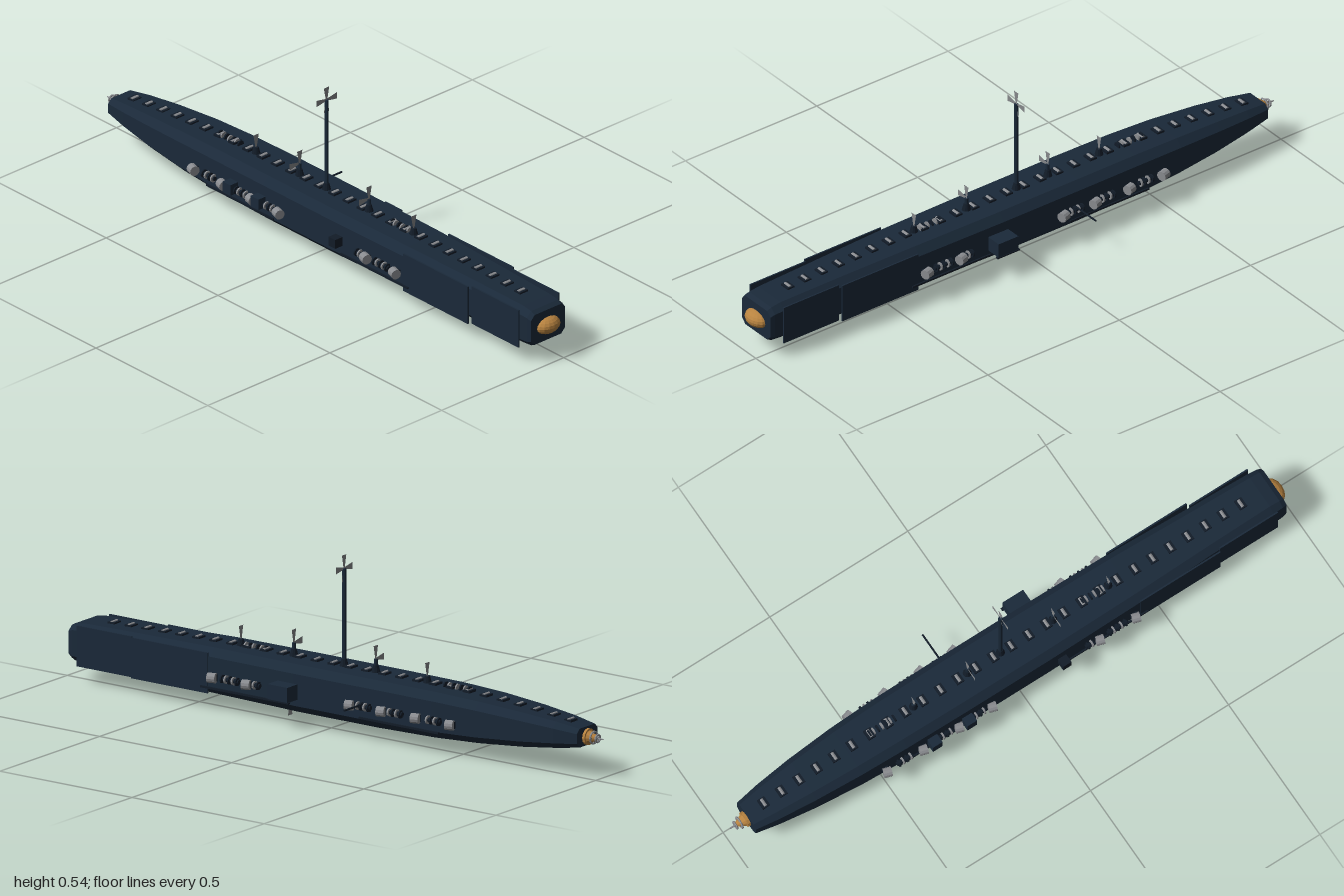
import * as THREE from 'three';

const CX = -0.037; // the hull centreline
const mat = (color) => new THREE.MeshStandardMaterial({ color, flatShading: true });
const NAVY = mat(0x1a2939), DARK = mat(0x121c28), GREY = mat(0x8a8c90), GOLD = mat(0xb88340);
const BLADE = mat(0x85878a);
BLADE.side = THREE.DoubleSide;

function add(parent, name, geo, material, x = 0, y = 0, z = 0) {
  const m = new THREE.Mesh(geo, material);
  m.name = name;
  m.position.set(x, y, z);
  parent.add(m);
  return m;
}
const box = (w, h, d) => new THREE.BoxGeometry(w, h, d);
const tube = (r, h, r2 = r, n = 10) => new THREE.CylinderGeometry(r, r2, h, n);
const tubeZ = (r, h, r2 = r, n = 12) => tube(r, h, r2, n).rotateX(Math.PI / 2);

// Hull lofted through chamfered rectangles: z, half width, bottom, top, chamfer
function hullGeometry() {
  const stations = [
    [0.97, 0.070, 0.065, 0.167, 0.016], [0.955, 0.073, 0.058, 0.175, 0.018],
    [0.92, 0.075, 0.055, 0.18, 0.02], [0.7, 0.082, 0.052, 0.185, 0.022],
    [0.42, 0.092, 0.047, 0.19, 0.024], [0.1, 0.096, 0.042, 0.19, 0.024],
    [-0.2, 0.096, 0.042, 0.19, 0.024], [-0.42, 0.094, 0.046, 0.189, 0.024],
    [-0.58, 0.089, 0.054, 0.184, 0.023], [-0.74, 0.078, 0.067, 0.174, 0.021],
    [-0.86, 0.065, 0.081, 0.163, 0.018], [-0.94, 0.052, 0.093, 0.152, 0.014]];
  const pos = [], idx = [], n = 8;
  for (const [z, w, b, t, c] of stations) {
    const ring = [[w, b + c], [w, t - c], [w - c, t], [c - w, t], [-w, t - c], [-w, b + c], [c - w, b], [w - c, b]];
    for (const [x, y] of ring) pos.push(x, y, z);
  }
  for (let s = 0; s < stations.length - 1; s++) {
    for (let i = 0; i < n; i++) {
      const a = s * n + i, b = s * n + (i + 1) % n;
      idx.push(a, a + n, b + n, a, b + n, b);
    }
  }
  const last = (stations.length - 1) * n;
  for (let i = 1; i < n - 1; i++) idx.push(0, i, i + 1, last, last + i + 1, last + i);
  const g = new THREE.BufferGeometry();
  g.setAttribute('position', new THREE.Float32BufferAttribute(pos, 3));
  g.setIndex(idx);
  const flat = g.toNonIndexed();
  flat.computeVertexNormals();
  return flat;
}

// Height of the tapering deck and keel
const taper = (z) => Math.max(0, -z - 0.42) / 0.52;
const deckY = (z) => 0.19 - 0.037 * taper(z) ** 1.5 - 0.011 * Math.max(0, z - 0.42) / 0.5;
const keelY = (z) => 0.043 + 0.05 * taper(z) ** 1.3 + 0.012 * Math.max(0, z - 0.2) / 0.7;

// Flared vanes, each pointing along one angle in the xy plane
const vaneShape = new THREE.Shape([[0.003, 0], [0.011, 0.042], [-0.011, 0.042], [-0.003, 0]]
  .map(([x, y]) => new THREE.Vector2(x, y)));
function vanes(parent, y, angles) {
  for (const a of angles) {
    const v = add(parent, 'vane', new THREE.ShapeGeometry(vaneShape), BLADE, 0, y, 0);
    v.rotation.z = a;
  }
}

function mast(root, name, z, base, height, angles, r = 0.006) {
  const g = new THREE.Group();
  g.name = name;
  g.position.set(CX, base, z);
  add(g, 'mastFoot', tube(0.008, 0.022, 0.014), DARK, 0, 0.011, 0);
  add(g, 'mastPole', tube(r, height), NAVY, 0, height / 2, 0);
  vanes(g, height, angles);
  root.add(g);
}

// Ribbed machinery: a row of discs on a spindle beside the hull
function coilBank(parent, x, z, count) {
  const g = new THREE.Group();
  g.name = 'coilBank';
  g.position.set(x, 0.108, z);
  const len = count * 0.014;
  add(g, 'coilSpindle', tubeZ(0.007, len), DARK);
  for (let i = 0; i < count; i++) {
    add(g, 'coilRib', tubeZ(0.013, 0.005), i % 2 ? GREY : DARK, 0, 0, (i + 0.5) * 0.014 - len / 2);
  }
  parent.add(g);
}

export function createModel() {
  const root = new THREE.Group();
  root.name = 'longShip';
  const body = new THREE.Group();
  body.name = 'body';
  body.position.x = CX;
  root.add(body);
  add(body, 'hull', hullGeometry(), NAVY);

  // Bow dome
  const dome = add(body, 'bowDome', new THREE.SphereGeometry(1, 16, 10), GOLD, 0, 0.115, 0.965);
  dome.scale.set(0.046, 0.028, 0.035);

  // Side plates, stepped outward towards the middle
  for (const s of [-1, 1]) {
    add(body, 'frontSidePlate', box(0.005, 0.127, 0.21), NAVY, s * 0.082, 0.114, 0.825);
    add(body, 'rearSidePlate', box(0.005, 0.127, 0.29), NAVY, s * 0.0925, 0.114, 0.57);
  }

  // Side machinery: pods with coil banks between them
  for (const s of [-1, 1]) {
    for (const z of [0.4, 0.27, -0.12, -0.24, -0.37, -0.5]) {
      add(body, 'podBracket', box(0.018, 0.022, 0.022), DARK, s * 0.098, 0.105, z);
      const pod = add(body, 'pod', tubeZ(0.016, 0.026), GREY, s * 0.107, 0.106, z);
      pod.rotation.y = s * 0.3;
    }
    for (const [z, n] of [[0.335, 5], [0.235, 2], [-0.17, 4], [-0.29, 4], [-0.435, 4]]) {
      coilBank(body, s * 0.102, z, n);
    }
    for (const z of [0.3, -0.3]) add(body, 'sideRail', box(0.006, 0.006, 0.3), DARK, s * 0.097, 0.07, z);
  }
  add(body, 'leftSmallPod', box(0.03, 0.03, 0.03), DARK, -0.11, 0.113, 0.14);
  for (const z of [-0.205, -0.33]) add(body, 'rightSideCase', box(0.034, 0.036, 0.035), NAVY, -0.109, 0.114, z);

  // Docking block and side boom
  add(root, 'dockBlock', box(0.056, 0.048, 0.075), NAVY, 0.082, 0.111, 0.122);
  add(root, 'dockLip', box(0.01, 0.004, 0.085), DARK, 0.107, 0.086, 0.122);
  add(root, 'sideBoom', tube(0.003, 0.11, 0.003, 6).rotateZ(Math.PI / 2), DARK, 0.108, 0.117, -0.17);

  // Deck fittings and keel fittings along the whole length
  for (let i = 0; i < 28; i++) {
    const z = 0.85 - i * 0.064, y = deckY(z);
    add(body, 'deckBase', box(0.034, 0.008, 0.026), DARK, 0, y + 0.002, z);
    add(body, 'deckRoller', tube(0.006, 0.026, 0.006, 8).rotateZ(Math.PI / 2), GREY, 0, y + 0.004, z);
    if (i % 2 === 0) {
      add(body, 'keelFitting', box(0.016, 0.008, 0.016), GREY, 0, keelY(z) - 0.001, z);
    }
  }
  for (const z0 of [0.32, -0.45]) {
    for (let i = 0; i < 7; i++) {
      add(body, 'deckCoilRib', tubeZ(0.012, 0.005), i % 2 ? GREY : DARK, 0, 0.192, z0 + (i - 3) * 0.015);
    }
  }

  // Masts
  const up = 0, left = Math.PI / 2;
  mast(root, 'mainMast', -0.02, 0.19, 0.305, [up, left, Math.PI, -left], 0.0065);
  mast(root, 'tallFrontMast', 0.17, 0.19, 0.041, [up, left]);
  mast(root, 'tallRearMast', -0.14, 0.19, 0.041, [up, left]);
  mast(root, 'shortFrontMast', 0.37, 0.188, 0.022, [up]);
  mast(root, 'shortRearMast', -0.335, 0.188, 0.022, [up]);

  // Keel antenna
  add(root, 'keelAntennaBase', box(0.034, 0.014, 0.03), GREY, -0.043, 0.035, 0.19);
  const keelVane = new THREE.Group();
  keelVane.name = 'keelAntenna';
  keelVane.position.set(-0.045, 0, 0.19);
  vanes(keelVane, 0.042, [Math.PI]);
  root.add(keelVane);

  // Stern: gold cone, ringed spike and small cross arms
  add(body, 'sternSocket', tubeZ(0.026, 0.012), GOLD, 0, 0.12, -0.943);
  add(body, 'sternCone', tubeZ(0.022, 0.03, 0.008), GOLD, 0, 0.12, -0.961);
  add(body, 'sternSpike', tubeZ(0.004, 0.05, 0.002, 6), GREY, 0, 0.12, -0.975);
  for (const [z, r] of [[-0.965, 0.019], [-0.98, 0.012]]) {
    add(body, 'sternRing', new THREE.TorusGeometry(r, 0.003, 6, 12), GREY, 0, 0.12, z);
    add(body, 'sternArm', box(r * 2, 0.004, 0.004), GREY, 0, 0.12, z);
    add(body, 'sternArm', box(0.004, r * 2, 0.004), GREY, 0, 0.12, z);
  }
  return root;
}
